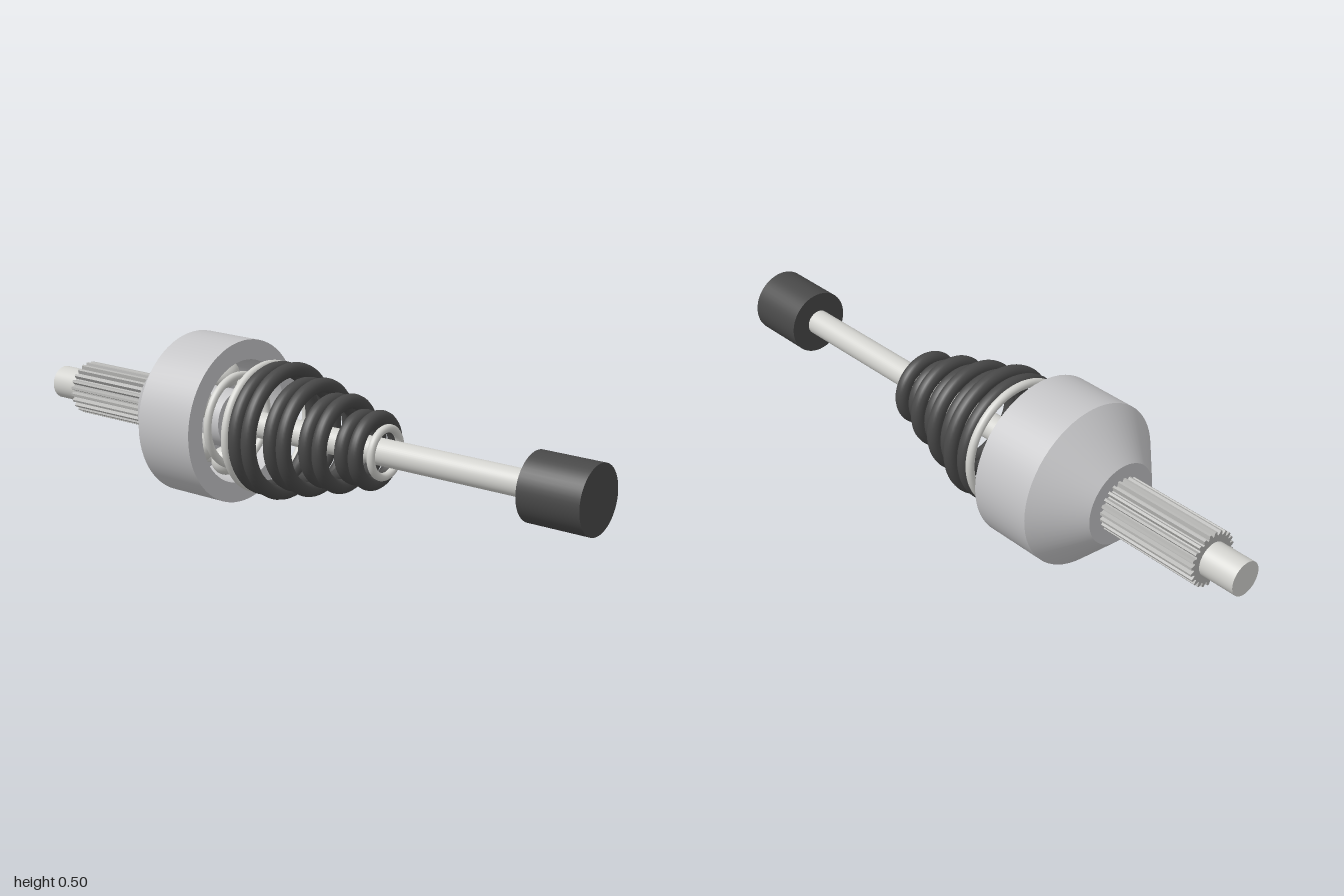
import * as THREE from 'three';

const AXIS_Y = 0.252;

export function createModel() {
  const mat = (name, color) => {
    const m = new THREE.MeshStandardMaterial({ color });
    m.name = name;
    return m;
  };
  const castSteel = mat('castSteel', 0xc4c4c6);
  const polished = mat('polishedSteel', 0xd2d2ce);
  const splineSteel = mat('splineSteel', 0xb4b4b2);
  const rubber = mat('rubber', 0x484848);

  const model = new THREE.Group();
  model.name = 'driveShaft';
  const axle = new THREE.Group();
  axle.name = 'axle';
  axle.position.y = AXIS_Y;
  model.add(axle);

  const add = (name, geometry, material, x = 0, y = 0, z = 0) => {
    const mesh = new THREE.Mesh(geometry, material);
    mesh.name = name;
    mesh.position.set(x, y, z);
    axle.add(mesh);
    return mesh;
  };
  // Cylinder lying along x between two stations
  const rod = (name, x0, x1, r, material) =>
    add(name, new THREE.CylinderGeometry(r, r, x1 - x0, 48).rotateZ(-Math.PI / 2), material, (x0 + x1) / 2);
  // Ring around x, given by its outer radius
  const ring = (name, x, outer, tube, material) =>
    add(name, new THREE.TorusGeometry(outer - tube, tube, 16, 64).rotateY(Math.PI / 2), material, x);
  // Turned part: sharp-edged profile of [x, radius] pairs, one lathe per straight run
  const turned = (name, profile, material) => {
    const group = new THREE.Group();
    group.name = name;
    for (let i = 0; i + 1 < profile.length; i++) {
      const pts = [profile[i], profile[i + 1]].map(([x, r]) => new THREE.Vector2(r, x));
      const mesh = new THREE.Mesh(new THREE.LatheGeometry(pts, 64).rotateZ(-Math.PI / 2), material);
      mesh.name = `${name}Face${i + 1}`;
      group.add(mesh);
    }
    axle.add(group);
  };

  // Shafts and end cap
  rod('stubTip', -1, -0.87, 0.052, polished);
  rod('mainShaft', -0.42, 0.82, 0.04, polished);
  rod('endCap', 0.806, 1, 0.101, rubber);

  // Splined stub with straight teeth
  const TEETH = 24;
  const outline = [];
  for (let i = 0; i < TEETH; i++) {
    [[0, 0.072], [0.22, 0.084], [0.55, 0.084], [0.77, 0.072]].forEach(([f, r]) => {
      const a = ((i + f) / TEETH) * Math.PI * 2;
      outline.push(new THREE.Vector2(Math.cos(a) * r, Math.sin(a) * r));
    });
  }
  const spline = new THREE.ExtrudeGeometry(new THREE.Shape(outline), { depth: 0.345, bevelEnabled: false });
  add('splinedStub', spline.rotateY(Math.PI / 2), splineSteel, -0.885);

  // Hollow joint housing, open towards the boot
  turned('jointHousing', [
    [-0.55, 0], [-0.55, 0.125], [-0.425, 0.251], [-0.225, 0.251],
    [-0.225, 0.19], [-0.4, 0.19], [-0.4, 0],
  ], castSteel);

  // Inner race, cage and balls
  turned('innerRace', [[-0.36, 0], [-0.36, 0.09], [-0.25, 0.09], [-0.25, 0]], castSteel);
  ring('cageFront', -0.25, 0.15, 0.012, polished);
  ring('cageBack', -0.35, 0.15, 0.012, polished);
  for (let i = 0; i < 6; i++) {
    const a = (i / 6) * Math.PI * 2;
    add(`ball${i + 1}`, new THREE.SphereGeometry(0.045, 24, 16), polished, -0.3, Math.cos(a) * 0.138, Math.sin(a) * 0.138);
  }

  // Rubber boot folds in stepped pairs
  [0.203, 0.208, 0.172, 0.178, 0.142, 0.148, 0.112, 0.118].forEach((outer, i) =>
    ring(`bootFold${i + 1}`, -0.103 + i * 0.0535, outer, 0.022, rubber));

  // Boot clamps
  ring('largeClamp', -0.135, 0.202, 0.013, polished);
  ring('smallClamp', 0.307, 0.083, 0.012, polished);

  return model;
}
